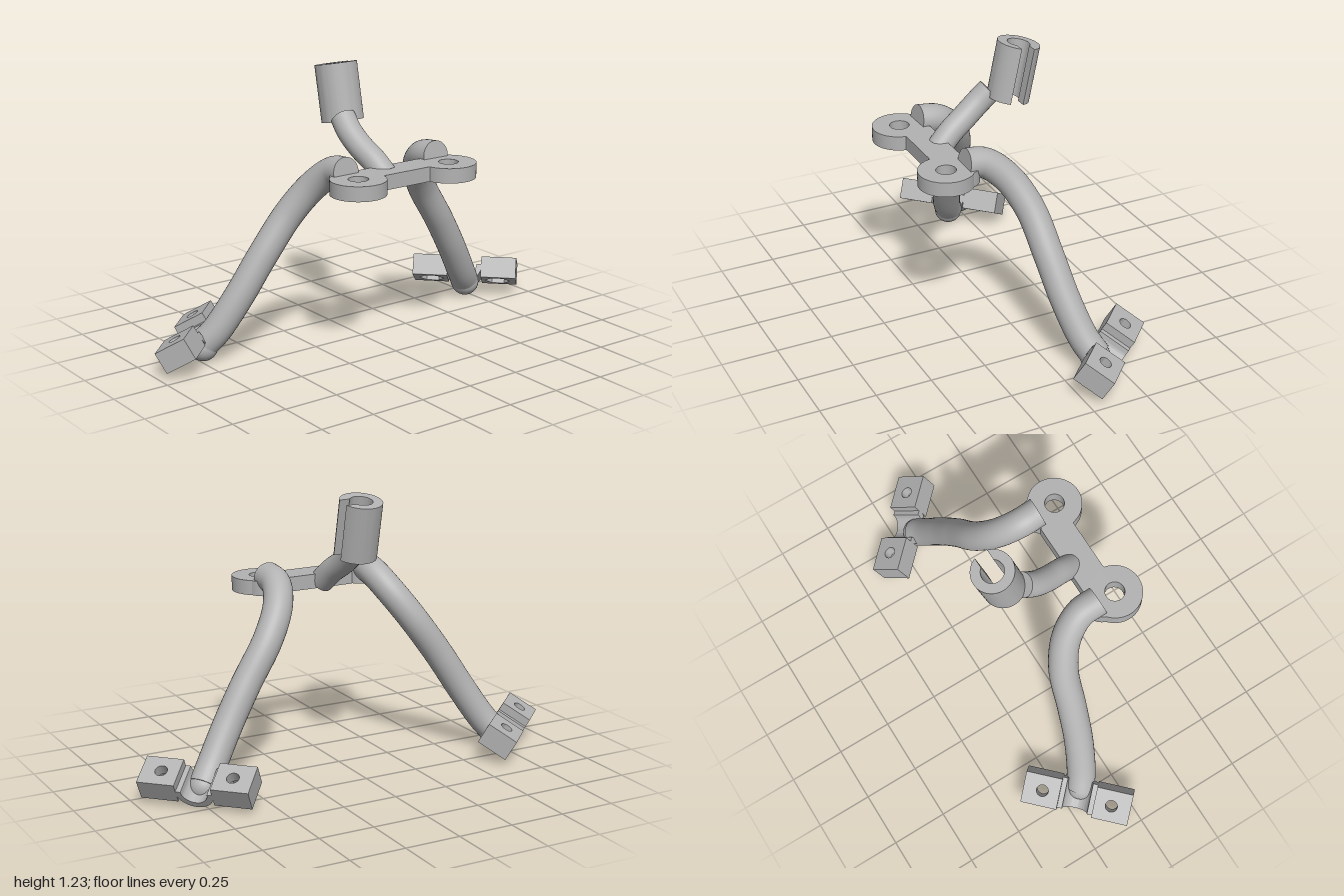
import * as THREE from 'three';
import { toCreasedNormals } from 'three/addons/utils/BufferGeometryUtils.js';

const grey = new THREE.MeshStandardMaterial({ color: 0xb2b2b2 });
grey.name = 'plain grey';

function add(parent, name, geometry) {
  const mesh = new THREE.Mesh(geometry, grey);
  mesh.name = name;
  parent.add(mesh);
  return mesh;
}

// Extrude a shape drawn in (x, -z) upward along y
function slab(shape, depth) {
  const g = new THREE.ExtrudeGeometry(shape, { depth, bevelEnabled: false, curveSegments: 32 });
  g.rotateX(-Math.PI / 2);
  return toCreasedNormals(g, 0.6);
}

// Round bar along a smooth path, closed at both ends
function roundBar(parent, name, points, radius) {
  const group = new THREE.Group();
  group.name = name;
  const curve = new THREE.CatmullRomCurve3(points.map(p => new THREE.Vector3(...p)));
  add(group, name + 'Shaft', new THREE.TubeGeometry(curve, 64, radius, 32));
  for (const t of [0, 1]) {
    const dir = curve.getTangentAt(t).multiplyScalar(t ? 1 : -1);
    const cap = add(group, name + 'End', new THREE.CircleGeometry(radius, 32));
    cap.position.copy(curve.getPointAt(t));
    cap.quaternion.setFromUnitVectors(new THREE.Vector3(0, 0, 1), dir);
  }
  parent.add(group);
}

function circleHole(x, y, r) {
  return new THREE.Path().absarc(x, y, r, 0, Math.PI * 2, true);
}

function buildPlate(root) {
  const plate = new THREE.Group();
  plate.name = 'mountingPlate';
  plate.position.y = 0.765;
  const h = 0.065;

  // Web between the eyelets, with small flares at its ends
  const web = new THREE.Shape();
  web.moveTo(-0.17, -0.355);
  web.quadraticCurveTo(-0.14, -0.32, -0.11, -0.32);
  web.lineTo(0.11, -0.32);
  web.quadraticCurveTo(0.14, -0.32, 0.17, -0.355);
  web.lineTo(0.17, -0.185);
  web.lineTo(-0.17, -0.185);
  add(plate, 'plateWeb', slab(web, h));

  for (const s of [-1, 1]) {
    const ring = new THREE.Shape().absarc(s * 0.24, -0.3, 0.12, 0, Math.PI * 2);
    ring.holes.push(circleHole(s * 0.24, -0.3, 0.043));
    add(plate, 'eyelet', slab(ring, h));
    // Boss under the start of each leg
    const boss = new THREE.Shape().absarc(s * 0.24, -0.235, 0.082, 0, Math.PI);
    add(plate, 'legBoss', slab(boss, h));
  }
  root.add(plate);
}

function buildFoot(root, s) {
  const foot = new THREE.Group();
  foot.name = s > 0 ? 'leftFoot' : 'rightFoot';
  foot.position.set(s * 0.77, 0.11, -0.2);
  foot.rotation.set(Math.PI / 6, s * Math.PI * 0.75, 0, 'YXZ');

  for (const side of [-1, 1]) {
    const block = () => {
      const a = side * 0.1625, b = 0.0825, w = 0.0725;
      return new THREE.Shape([[a - b, -w], [a + b, -w], [a + b, w], [a - b, w]]
        .map(p => new THREE.Vector2(...p)));
    };
    // Upper half with the bolt hole
    const upper = block();
    upper.holes.push(circleHole(side * 0.158, 0, 0.027));
    add(foot, 'clampBlockTop', slab(upper, 0.05));
    // Lower half with the hexagonal nut pocket
    const lower = block();
    const hex = [];
    for (let i = 0; i < 6; i++) {
      const a = -i * Math.PI / 3;
      hex.push(new THREE.Vector2(side * 0.158 + 0.058 * Math.cos(a), 0.058 * Math.sin(a)));
    }
    lower.holes.push(new THREE.Path(hex));
    add(foot, 'clampBlockBottom', slab(lower, 0.05)).position.y = -0.05;
  }

  // Half-round cradle joining the blocks
  const c = new THREE.Shape();
  c.absarc(0, 0, 0.085, Math.PI, Math.PI * 2, false);
  c.absarc(0, 0, 0.058, Math.PI * 2, Math.PI, true);
  const g = new THREE.ExtrudeGeometry(c, { depth: 0.145, bevelEnabled: false, curveSegments: 32 });
  g.translate(0, 0.012, -0.0725);
  add(foot, 'cradle', toCreasedNormals(g, 0.6));
  root.add(foot);
}

function buildClamp(root) {
  // Split sleeve, open toward +x
  const R = 0.093, r = 0.05, half = 0.03;
  const a = Math.asin(half / R), b = Math.asin(half / r);
  const c = new THREE.Shape();
  c.absarc(0, 0, R, a, Math.PI * 2 - a, false);
  c.absarc(0, 0, r, Math.PI * 2 - b, b, true);
  const sleeve = add(root, 'splitSleeve', slab(c, 0.252));
  sleeve.position.set(-0.017, 0.97, -0.115);
  sleeve.rotation.x = -0.205;
}

export function createModel() {
  const root = new THREE.Group();
  root.name = 'bracket';
  buildPlate(root);

  const leg = [
    [0.24, 0.84, 0.215], [0.242, 0.825, 0.125], [0.28, 0.752, 0.035], [0.36, 0.63, -0.03],
    [0.485, 0.45, -0.06], [0.585, 0.29, -0.085], [0.68, 0.14, -0.125], [0.73, 0.075, -0.158]
  ];
  for (const s of [-1, 1]) {
    roundBar(root, s > 0 ? 'leftLeg' : 'rightLeg', leg.map(([x, y, z]) => [s * x, y, z]), 0.065);
    // Rounded heel where the leg meets the foot
    add(root, 'heel', new THREE.SphereGeometry(0.065, 32, 20)).position.set(s * 0.73, 0.07, -0.155);
    buildFoot(root, s);
  }

  // Curved stem carrying the sleeve
  roundBar(root, 'stem', [
    [-0.03, 0.79, 0.21], [-0.045, 0.848, 0.145], [-0.06, 0.895, 0.075],
    [-0.068, 0.95, 0.005], [-0.062, 1.0, -0.05]
  ], 0.055);
  buildClamp(root);
  return root;
}
